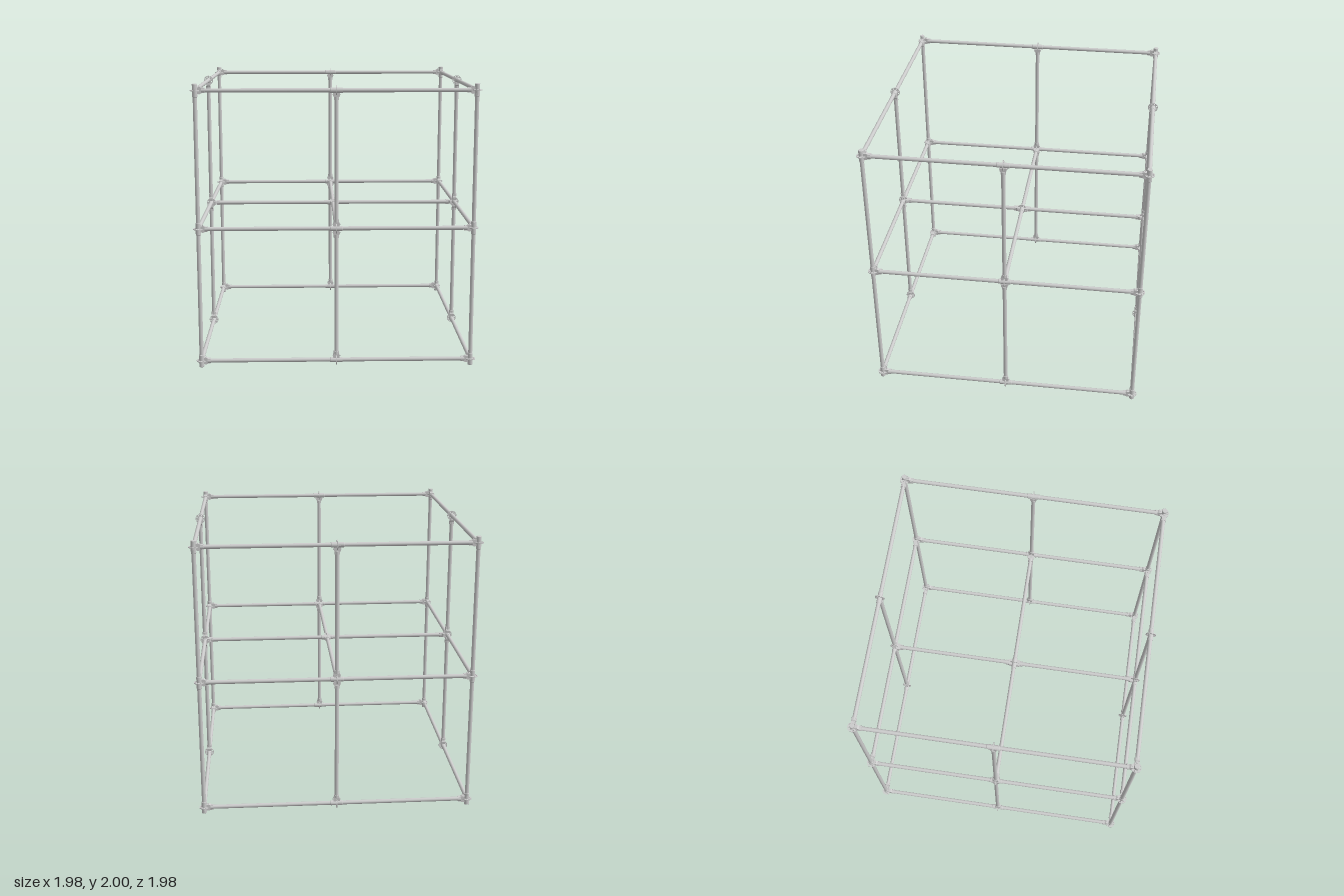
import * as THREE from 'three';

const HALF = 0.955;                    // distance from centre to outer tube axes
const LEVELS = [0.045, 1, 1.955];      // heights of the horizontal rings
const TUBE_R = 0.0145;
const V = (x, y, z) => new THREE.Vector3(x, y, z);
const X = V(1, 0, 0), Y = V(0, 1, 0), Z = V(0, 0, 1);

// Slotted ring plate, lying across the local y axis
function rosetteGeometry() {
  const t = 0.006;
  const shape = new THREE.Shape().absarc(0, 0, 0.035, 0, Math.PI * 2);
  for (let i = 0; i < 8; i++) {
    const a = (i + 0.5) * Math.PI / 4;
    shape.holes.push(new THREE.Path().absarc(Math.cos(a) * 0.026, Math.sin(a) * 0.026, 0.005, 0, Math.PI * 2, true));
  }
  return new THREE.ExtrudeGeometry(shape, { depth: t, bevelEnabled: false, curveSegments: 16 })
    .translate(0, 0, -t / 2).rotateX(Math.PI / 2);
}

// Forked clamp: side profile along local x with a slot for the plate
function clampGeometry() {
  const upper = [[0.026, 0.004], [0.017, 0.004], [0.017, 0.022], [0.036, 0.024], [0.048, 0.017], [0.064, 0.016]];
  const lower = upper.map(([x, y]) => [x, -y]).reverse();
  const shape = new THREE.Shape([...upper, ...lower].map(([x, y]) => new THREE.Vector2(x, y)));
  return new THREE.ExtrudeGeometry(shape, { depth: 0.026, bevelEnabled: false }).translate(0, 0, -0.013);
}

// Sleeve with chamfered ends around the through tube
function sleeveGeometry() {
  const pts = [[0, -0.045], [0.0155, -0.045], [0.018, -0.042], [0.018, 0.042], [0.0155, 0.045], [0, 0.045]];
  return new THREE.LatheGeometry(pts.map(([x, y]) => new THREE.Vector2(x, y)), 16);
}

export function createModel() {
  const model = new THREE.Group();
  model.name = 'scaffoldCube';
  const smooth = new THREE.MeshStandardMaterial({ color: 0xcccccc });
  const faceted = new THREE.MeshStandardMaterial({ color: 0xcccccc, flatShading: true });
  const rosette = rosetteGeometry(), clamp = clampGeometry(), sleeve = sleeveGeometry();
  const collar = new THREE.CylinderGeometry(0.0185, 0.0185, 0.022, 16).rotateZ(Math.PI / 2).translate(0.055, 0, 0);
  const wedge = new THREE.BoxGeometry(0.007, 0.056, 0.006).translate(0.029, 0, 0);

  function add(parent, name, geometry, material) {
    const mesh = new THREE.Mesh(geometry, material);
    mesh.name = name;
    parent.add(mesh);
    return mesh;
  }

  function tube(name, a, b) {
    const dir = b.clone().sub(a);
    const mesh = add(model, name, new THREE.CylinderGeometry(TUBE_R, TUBE_R, dir.length(), 16), smooth);
    mesh.position.copy(a).add(b).multiplyScalar(0.5);
    mesh.quaternion.setFromUnitVectors(Y, dir.normalize());
  }

  // Joint around a through tube, with one clamp per attached tube
  function joint(name, position, axis, directions) {
    const group = new THREE.Group();
    group.name = name;
    group.position.copy(position);
    model.add(group);
    const q = new THREE.Quaternion().setFromUnitVectors(Y, axis);
    add(group, 'sleeve', sleeve, faceted).quaternion.copy(q);
    add(group, 'rosette', rosette, faceted).quaternion.copy(q);
    for (const d of directions) {
      const head = new THREE.Group();
      head.name = 'clampHead';
      head.quaternion.setFromRotationMatrix(
        new THREE.Matrix4().makeBasis(d, axis, d.clone().cross(axis)));
      add(head, 'clampJaws', clamp, faceted);
      add(head, 'clampCollar', collar, smooth);
      add(head, 'clampWedge', wedge, faceted);
      group.add(head);
    }
  }

  const reach = HALF - 0.045; // horizontal tubes stop inside the clamps
  // Corner posts and their joints
  for (const sx of [-1, 1]) for (const sz of [-1, 1]) {
    const x = sx * HALF, z = sz * HALF;
    tube('cornerPost', V(x, 0.002, z), V(x, 1.998, z));
    for (const y of LEVELS) joint('cornerJoint', V(x, y, z), Y, [V(-sx, 0, 0), V(0, 0, -sz)]);
  }

  // Four sides: horizontal rails, middle posts and middle joints
  for (const s of [-1, 1]) for (const alongX of [true, false]) {
    const axis = alongX ? X : Z;
    const at = (u, y) => alongX ? V(u, y, s * HALF) : V(s * HALF, y, u);
    const inward = alongX ? V(0, 0, -s) : V(-s, 0, 0);
    LEVELS.forEach((y, i) => {
      tube('rail', at(-reach, y), at(reach, y));
      const directions = [];
      if (i < 2) {
        directions.push(V(0, 1, 0));
        tube('middlePost', at(0, y + 0.045), at(0, LEVELS[i + 1] - 0.045));
      }
      if (i > 0) directions.push(V(0, -1, 0));
      if (i === 1) directions.push(inward);
      joint('middleJoint', at(0, y), axis, directions);
    });
  }

  // Inner cross at mid height
  tube('crossRail', V(-reach, 1, 0), V(reach, 1, 0));
  for (const s of [-1, 1]) tube('crossRailHalf', V(0, 1, s * 0.045), V(0, 1, s * reach));
  joint('centreJoint', V(0, 1, 0), X, [V(0, 0, 1), V(0, 0, -1)]);
  return model;
}
